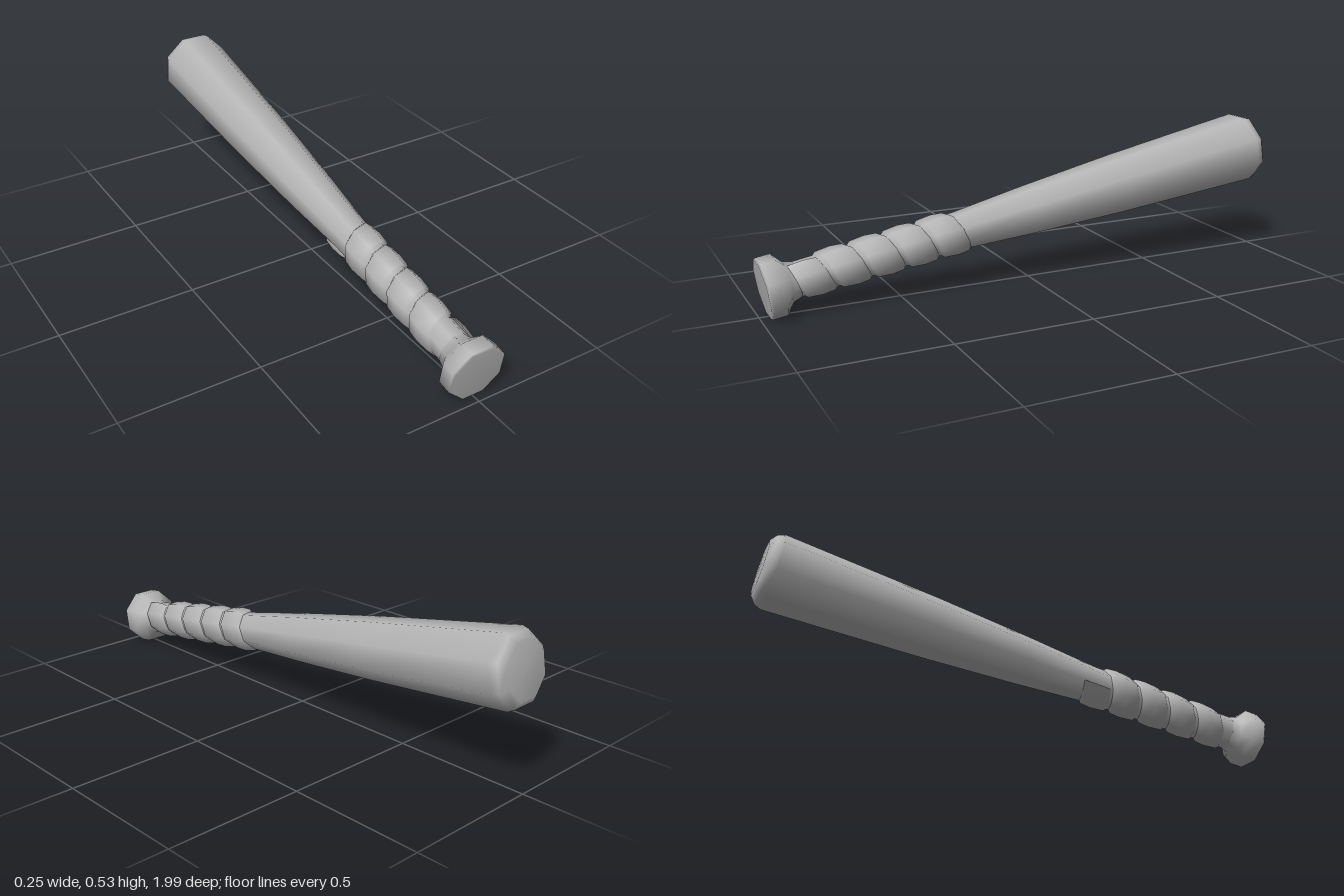
import * as THREE from 'three';

const SIDES = 8;
const CORNER = 1 / Math.cos(Math.PI / SIDES); // flat-to-corner radius ratio

// Handle radius (to the flats) at distance s from the knob face
const handleRadius = (s) => 0.056 + 0.008 * (s - 0.1) / 0.64;

// Eight-sided turned shape from [radius to flats, distance along the bat]
function turned(profile, material, name) {
  const points = profile.map(([r, s]) => new THREE.Vector2(r * CORNER, s));
  const mesh = new THREE.Mesh(
    new THREE.LatheGeometry(points, SIDES, Math.PI / SIDES, Math.PI * 2), material);
  mesh.name = name;
  return mesh;
}

// Tape wound in a helix around the handle
function wrap(material) {
  const start = 0.14, end = 0.725, pitch = 0.125, width = 0.125;
  const section = [[0, -0.004], [0.12, 0.009], [0.55, 0.013], [0.9, 0.009], [1, -0.004]];
  const steps = Math.round((end - start) / pitch * SIDES);
  const positions = [], index = [];
  for (let i = 0; i <= steps; i++) {
    const angle = (i + 0.5) * Math.PI * 2 / SIDES;
    const centre = start + pitch * i / SIDES;
    for (const [t, lift] of section) {
      const s = centre + (t - 0.5) * width;
      const r = (handleRadius(s) + lift) * CORNER;
      positions.push(r * Math.sin(angle), s, r * Math.cos(angle));
    }
  }
  const n = section.length;
  for (let i = 0; i < steps; i++) {
    for (let j = 0; j < n - 1; j++) {
      const a = i * n + j, b = a + n;
      index.push(a, b, a + 1, b, b + 1, a + 1);
    }
  }
  const geometry = new THREE.BufferGeometry();
  geometry.setAttribute('position', new THREE.Float32BufferAttribute(positions, 3));
  geometry.setIndex(index);
  geometry.computeVertexNormals();
  const mesh = new THREE.Mesh(geometry, material);
  mesh.name = 'gripTape';
  return mesh;
}

export function createModel() {
  const grey = new THREE.MeshStandardMaterial({ color: 0xb4b4b4, side: THREE.DoubleSide });
  grey.name = 'plain grey';

  const bat = new THREE.Group();
  bat.name = 'bat';

  // Knob, flaring down into the handle
  bat.add(turned([
    [0, 0], [0.096, 0], [0.1, 0.007], [0.1, 0.058], [0.066, 0.088], [0.057, 0.12],
  ], grey, 'knob'));

  // Handle and barrel with a bevelled end
  bat.add(turned([
    [0.057, 0.12], [handleRadius(0.72), 0.72], [0.083, 1.0], [0.103, 1.37],
    [0.125, 1.945], [0.116, 1.97], [0.092, 1.99], [0, 1.992],
  ], grey, 'barrel'));

  bat.add(wrap(grey));

  // Lay the bat along z, barrel end raised at the back
  bat.rotation.x = -THREE.MathUtils.degToRad(90 - 9.1);
  bat.position.set(0, 0.1, 0.983);

  const model = new THREE.Group();
  model.name = 'model';
  model.add(bat);
  return model;
}
